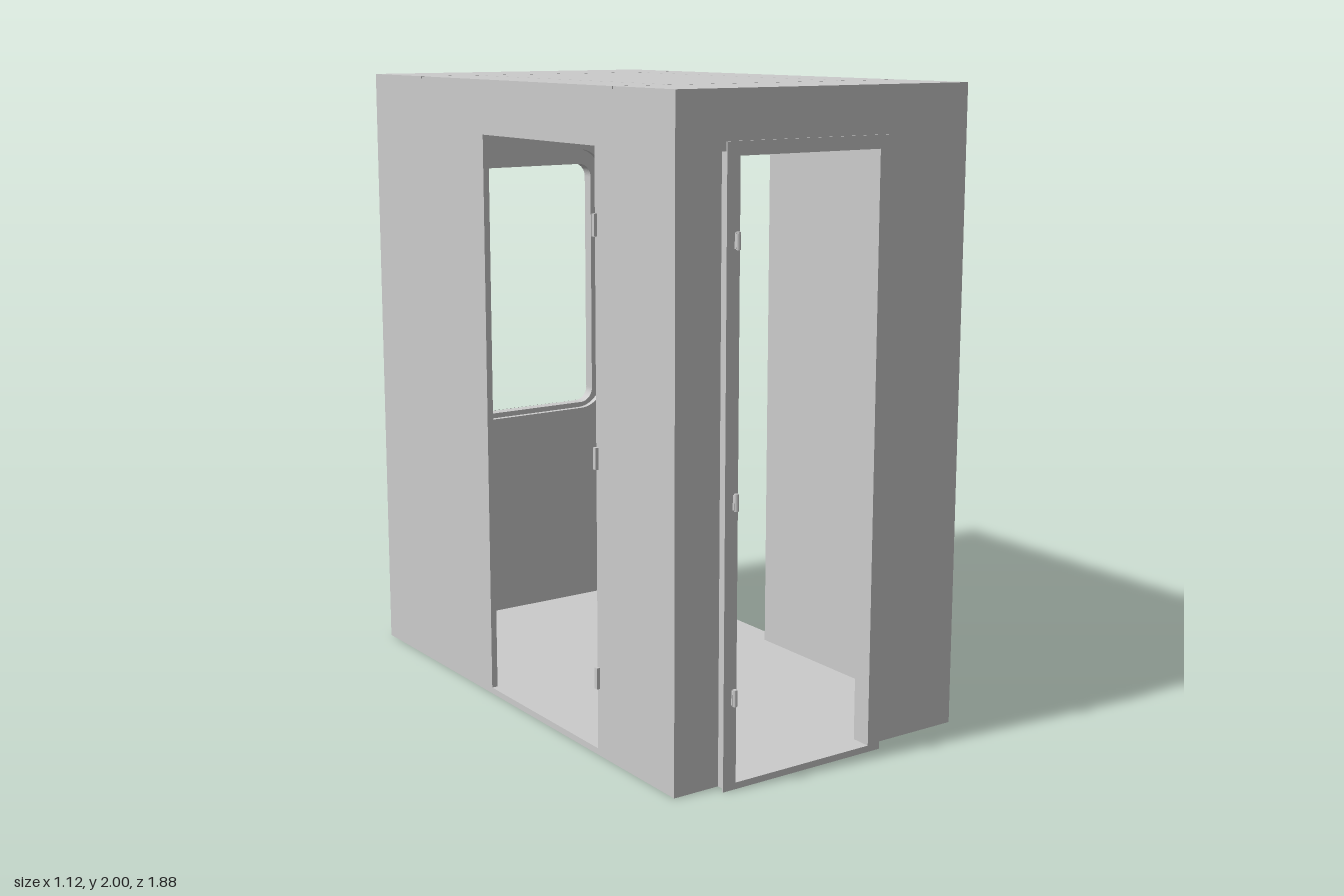
import * as THREE from 'three';

const material = new THREE.MeshStandardMaterial({ color: 0xcccccc, flatShading: true });

// Closed outline of a rectangle [x0, x1, y0, y1] with optional corner radius
function outline(target, [x0, x1, y0, y1], r = 0) {
  if (!r) {
    return target.moveTo(x0, y0).lineTo(x1, y0).lineTo(x1, y1).lineTo(x0, y1).closePath();
  }
  const h = Math.PI / 2;
  target.moveTo(x0 + r, y0);
  target.absarc(x1 - r, y0 + r, r, -h, 0);
  target.absarc(x1 - r, y1 - r, r, 0, h);
  target.absarc(x0 + r, y1 - r, r, h, 2 * h);
  target.absarc(x0 + r, y0 + r, r, 2 * h, 3 * h);
  return target.closePath();
}

// Flat plate between z0 and z1, with an optional opening
function plate(parent, name, rect, z0, z1, hole, radius) {
  const shape = outline(new THREE.Shape(), rect);
  if (hole) shape.holes.push(outline(new THREE.Path(), hole, radius));
  const geometry = new THREE.ExtrudeGeometry(shape, { depth: z1 - z0, bevelEnabled: false, curveSegments: 8 });
  geometry.translate(0, 0, z0);
  const mesh = new THREE.Mesh(geometry, material);
  mesh.name = name;
  parent.add(mesh);
  return mesh;
}

function box(parent, name, x0, x1, y0, y1, z0, z1) {
  const mesh = new THREE.Mesh(new THREE.BoxGeometry(x1 - x0, y1 - y0, z1 - z0), material);
  mesh.position.set((x0 + x1) / 2, (y0 + y1) / 2, (z0 + z1) / 2);
  mesh.name = name;
  parent.add(mesh);
}

// Hinge: a leaf against the frame and a round knuckle
function hinge(parent, x, y, z) {
  const group = new THREE.Group();
  group.name = 'hinge';
  box(group, 'hingeLeaf', -0.008, 0.008, -0.022, 0.022, -0.025, 0);
  const knuckle = new THREE.Mesh(new THREE.CylinderGeometry(0.007, 0.007, 0.05, 10), material);
  knuckle.name = 'hingeKnuckle';
  group.add(knuckle);
  group.position.set(x, y, z);
  parent.add(group);
}

// Door casing: jamb ring standing off the wall, capped by a thin flange
function casing(parent, [x0, x1, y0, y1], z, depth) {
  const hole = [x0, x1, y0, y1];
  plate(parent, 'doorJamb', [x0 - 0.03, x1 + 0.03, 0, y1 + 0.01], z, z + depth - 0.005, hole);
  plate(parent, 'doorFlange', [x0 - 0.045, x1 + 0.045, 0, y1 + 0.04], z + depth - 0.005, z + depth, hole);
}

// Each side is drawn facing +z, then turned into place
function side(parent, name, angle) {
  const group = new THREE.Group();
  group.name = name;
  group.rotation.y = angle;
  parent.add(group);
  return group;
}

export function createModel() {
  const model = new THREE.Group();
  model.name = 'cabin';
  const hingeHeights = [0.28, 0.855, 1.59];

  // Front wall with door frame, hinges and strike plates
  const front = side(model, 'frontSide', 0);
  const frontDoor = [-0.37, 0.13, 0.02, 1.82];
  plate(front, 'frontWall', [-0.535, 0.485, 0, 1.98], 0.86, 0.88, frontDoor);
  casing(front, frontDoor, 0.88, 0.045);
  hingeHeights.forEach(y => hinge(front, -0.38, y, 0.932));
  box(front, 'strikePlate', 0.158, 0.164, 0.92, 0.97, 0.895, 0.915);
  box(front, 'strikePlate', 0.158, 0.164, 0.845, 0.885, 0.895, 0.915);

  // Left wall with the second door frame
  const left = side(model, 'leftSide', Math.PI / 2);
  const leftDoor = [0.045, 0.7, 0.02, 1.835];
  plate(left, 'leftWall', [-0.88, 0.9, 0, 1.98], 0.485, 0.505, leftDoor);
  casing(left, leftDoor, 0.505, 0.038);
  hingeHeights.forEach(y => hinge(left, 0.705, y, 0.55));
  box(left, 'strikePlate', 0.009, 0.015, 0.9, 0.93, 0.512, 0.53);

  // Right wall with a plain doorway
  const right = side(model, 'rightSide', -Math.PI / 2);
  plate(right, 'rightWall', [-0.9, 0.88, 0, 1.98], 0.535, 0.555, [-0.165, 0.48, 0.02, 1.83]);
  [0.245, 0.92, 1.605].forEach(y => {
    box(right, 'rightHinge', 0.478, 0.492, y - 0.033, y + 0.033, 0.53, 0.565);
  });

  // Back wall, stepped window frame and inner header
  const back = side(model, 'backSide', Math.PI);
  const pane = [-0.31, 0.305, 0.765, 1.66];
  plate(back, 'backWall', [-0.485, 0.535, 0, 1.98], 0.88, 0.9, [-0.35, 0.34, 0.747, 1.715], 0.1);
  plate(back, 'windowFrameInner', [-0.365, 0.345, 0.745, 1.76], 0.9, 0.91, pane, 0.05);
  plate(back, 'windowFrameMiddle', [-0.375, 0.355, 0.745, 1.77], 0.91, 0.925, pane, 0.05);
  plate(back, 'windowFrameOuter', [-0.345, 0.325, 0.77, 1.737], 0.925, 0.94, pane, 0.05);
  box(back, 'windowHeader', -0.39, 0.39, 1.717, 1.82, 0.86, 0.88);

  // Floor
  box(model, 'floor', -0.535, 0.485, 0, 0.02, -0.88, 0.86);

  // Roof: panels with narrow seams over a thin ceiling
  box(model, 'ceiling', -0.555, 0.505, 1.98, 1.992, -0.9, 0.88);
  const seam = 0.003;
  box(model, 'roofFront', -0.555, 0.505, 1.992, 2, 0.575 + seam, 0.88);
  box(model, 'roofBack', -0.555, 0.505, 1.992, 2, -0.9, -0.565 - seam);
  const cuts = [-0.555 - seam, -0.35, 0.295, 0.505 + seam];
  for (let i = 0; i < 3; i++) {
    box(model, 'roofPanel', cuts[i] + seam, cuts[i + 1] - seam, 1.992, 2, -0.565 + seam, 0.575 - seam);
  }
  return model;
}
